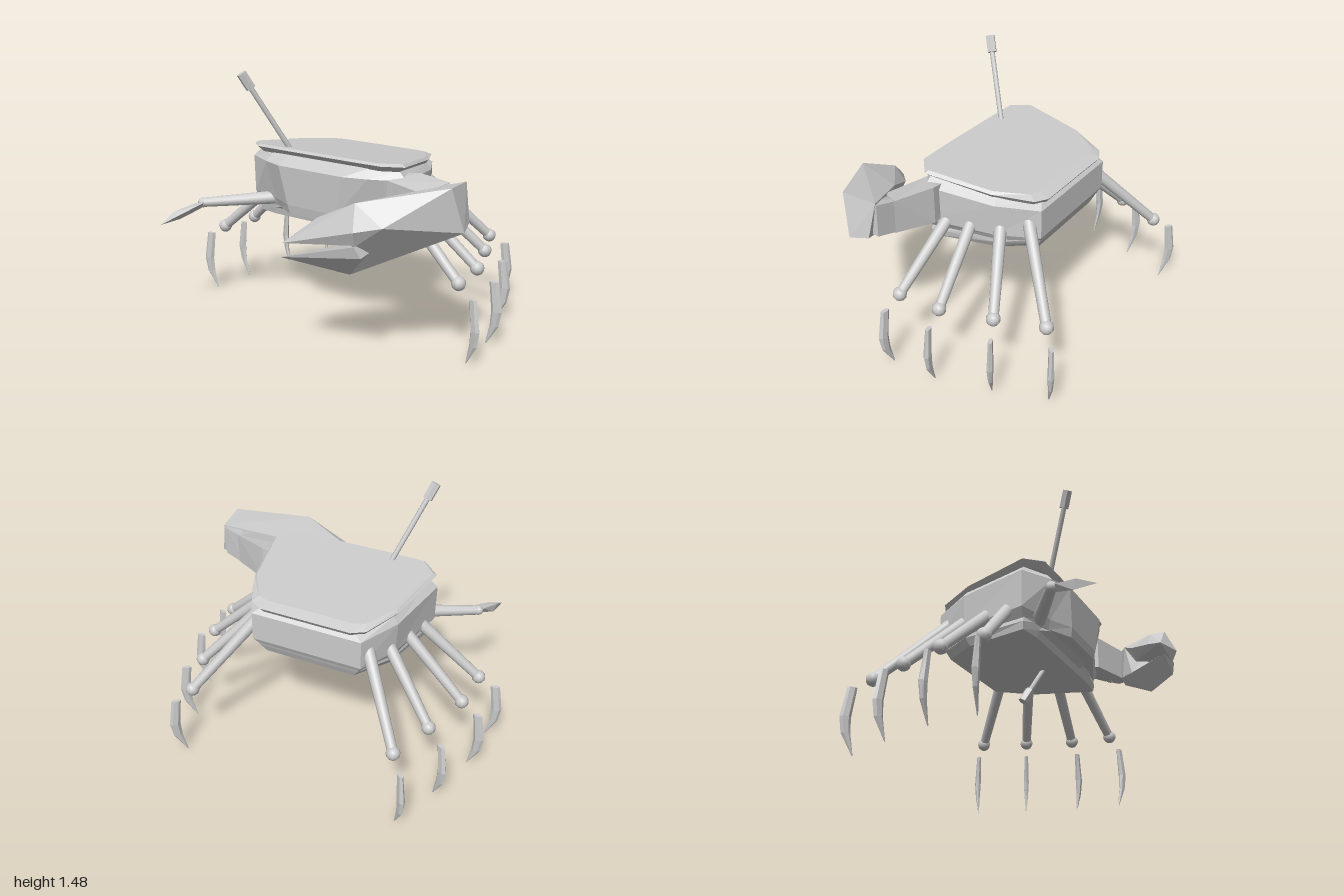
import * as THREE from 'three';
import { ConvexGeometry } from 'three/addons/geometries/ConvexGeometry.js';

const V = (x, y, z) => new THREE.Vector3(x, y, z);
const flat = new THREE.MeshStandardMaterial({ color: 0xcccccc, flatShading: true });
const smooth = new THREE.MeshStandardMaterial({ color: 0xcccccc });

function add(parent, name, geometry, material = flat) {
  const mesh = new THREE.Mesh(geometry, material);
  mesh.name = name;
  parent.add(mesh);
  return mesh;
}

// Closed skin over rings that run upward, each counterclockwise from above
function loft(rings) {
  const pos = [];
  const tri = (...pts) => pts.forEach(p => pos.push(p.x, p.y, p.z));
  const n = rings[0].length;
  for (let i = 0; i < rings.length - 1; i++) {
    for (let j = 0; j < n; j++) {
      const k = (j + 1) % n;
      tri(rings[i][j], rings[i][k], rings[i + 1][k]);
      tri(rings[i][j], rings[i + 1][k], rings[i + 1][j]);
    }
  }
  const low = rings[0], top = rings[rings.length - 1];
  for (let j = 1; j < n - 1; j++) {
    tri(low[0], low[j + 1], low[j]);
    tri(top[0], top[j], top[j + 1]);
  }
  const g = new THREE.BufferGeometry();
  g.setAttribute('position', new THREE.Float32BufferAttribute(pos, 3));
  g.computeVertexNormals();
  return g;
}

// Symmetric ring from one half outline [x, z]; y tilts linearly with z
function ring(y, slope, half) {
  const left = half.map(([x, z]) => V(x, y + slope * (z - 0.2), z));
  const right = half.map(([x, z]) => V(-x, y + slope * (z - 0.2), z)).reverse();
  return [...left, ...right];
}

const hull = pts => new ConvexGeometry(pts.map(p => V(...p)));

// Tapered round bar between two points
function bar(parent, name, a, b, ra, rb, sides, material) {
  const g = new THREE.CylinderGeometry(rb, ra, a.distanceTo(b), sides);
  const mesh = add(parent, name, g, material);
  mesh.position.copy(a).lerp(b, 0.5);
  mesh.quaternion.setFromUnitVectors(V(0, 1, 0), b.clone().sub(a).normalize());
  return mesh;
}

function buildBody(crab) {
  add(crab, 'body', loft([
    ring(0.69, -0.03, [[0.16, 0.325], [0.3, 0.25], [0.49, 0.19], [0.42, -0.2], [0.3, -0.41]]),
    ring(0.74, 0, [[0.17, 0.335], [0.31, 0.265], [0.525, 0.2], [0.44, -0.2], [0.33, -0.425]]),
    ring(0.955, 0.07, [[0.22, 0.35], [0.35, 0.3], [0.53, 0.2], [0.45, -0.2], [0.33, -0.425]]),
    ring(1.005, 0.1, [[0.2, 0.27], [0.33, 0.26], [0.48, 0.19], [0.42, -0.2], [0.28, -0.39]]),
  ]));
  add(crab, 'bellyPlate', loft([
    ring(0.622, -0.04, [[0.2, 0.21], [0.36, 0.21], [0.485, 0.19], [0.4, -0.18], [0.27, -0.38]]),
    ring(0.665, -0.04, [[0.2, 0.22], [0.36, 0.22], [0.495, 0.195], [0.42, -0.2], [0.3, -0.4]]),
    ring(0.72, 0, [[0.16, 0.3], [0.3, 0.24], [0.48, 0.19], [0.42, -0.2], [0.31, -0.41]]),
  ]));
  add(crab, 'shellLid', loft([
    ring(1.0, 0.11, [[0.2, 0.26], [0.4, 0.26], [0.48, 0.19], [0.42, -0.18], [0.33, -0.37], [0.26, -0.41]]),
    ring(1.03, 0.11, [[0.2, 0.295], [0.42, 0.29], [0.52, 0.2], [0.445, -0.18], [0.345, -0.39], [0.27, -0.43]]),
    ring(1.045, 0.11, [[0.2, 0.285], [0.41, 0.28], [0.5, 0.19], [0.43, -0.18], [0.32, -0.35], [0.26, -0.37]]),
  ]));
}

// Thin stalk with a six-sided eye on its end
function buildEye(crab, base, tip) {
  const eye = new THREE.Group();
  eye.name = 'eye';
  const neck = tip.clone().lerp(base, 0.17);
  bar(eye, 'eyeStalk', base, neck, 0.015, 0.015, 8, smooth);
  bar(eye, 'eyeTip', neck, tip, 0.029, 0.029, 6, flat);
  crab.add(eye);
}

// Pointed foot, bowed away from the body
function footGeometry(x, z, ux, uz) {
  const sections = [ // height, offset outward, outward radius, side radius
    [0.005, 0.0, 0.003, 0.003], [0.12, 0.045, 0.026, 0.013],
    [0.21, 0.055, 0.031, 0.019], [0.38, 0.032, 0.027, 0.013],
  ];
  return loft(sections.map(([y, off, ru, rv]) => Array.from({ length: 6 }, (_, i) => {
    const t = i * Math.PI / 3;
    const a = off + ru * Math.cos(t), b = rv * Math.sin(t);
    return V(x + ux * a + uz * b, y, z + uz * a - ux * b);
  })));
}

function buildLegs(crab) {
  const legs = [ // hip, knee, inner and outer ends of the foot in plan
    { hip: [0.42, 0.81, 0.08], knee: [0.835, 0.155], foot: [0.905, 0.172, 0.99, 0.195] },
    { hip: [0.38, 0.83, -0.04], knee: [0.815, -0.1], foot: [0.885, -0.105, 0.98, -0.112] },
    { hip: [0.38, 0.81, -0.2], knee: [0.72, -0.385], foot: [0.785, -0.418, 0.865, -0.458] },
    { hip: [0.31, 0.87, -0.32], knee: [0.62, -0.65], foot: [0.667, -0.705, 0.735, -0.76] },
  ];
  for (const side of [1, -1]) {
    for (const { hip, knee, foot } of legs) {
      const leg = new THREE.Group();
      leg.name = side > 0 ? 'leftLeg' : 'rightLeg';
      const k = V(side * knee[0], 0.44, knee[1]);
      bar(leg, 'upperLeg', V(side * hip[0], hip[1], hip[2]), k, 0.036, 0.028, 12, smooth);
      add(leg, 'knee', new THREE.SphereGeometry(0.04, 10, 8), smooth).position.copy(k);
      const dx = side * (foot[2] - foot[0]), dz = foot[3] - foot[1], d = Math.hypot(dx, dz);
      add(leg, 'foot', footGeometry(side * foot[0], foot[1], dx / d, dz / d));
      crab.add(leg);
    }
  }
}

function buildLargeClaw(crab) {
  const claw = new THREE.Group();
  claw.name = 'largeClaw';
  add(claw, 'upperArm', hull([
    [0.44, 0.78, 0.12], [0.44, 0.97, 0.12], [0.44, 0.76, 0.25], [0.44, 0.96, 0.25],
    [0.56, 0.77, 0.11], [0.56, 0.99, 0.11], [0.7, 0.76, 0.33], [0.7, 0.95, 0.33],
    [0.78, 0.79, 0.2], [0.78, 0.99, 0.19],
  ]));
  add(claw, 'wrist', hull([
    [0.72, 0.78, 0.19], [0.72, 0.97, 0.19], [0.72, 0.77, 0.31], [0.72, 0.95, 0.31],
    [0.89, 0.82, 0.22], [0.89, 1.01, 0.215], [0.9, 0.84, 0.34], [0.88, 1.0, 0.34],
  ]));
  add(claw, 'palm', hull([
    [0.89, 1.02, 0.22], [0.915, 1.033, 0.42], [0.96, 0.8, 0.36], [0.93, 0.82, 0.25],
    [0.79, 0.98, 0.27], [0.78, 0.8, 0.28], [0.745, 0.995, 0.47], [0.68, 0.85, 0.66],
    [0.52, 0.95, 0.66], [0.55, 0.82, 0.72], [0.54, 0.74, 0.68], [0.57, 0.92, 0.38],
    [0.57, 0.72, 0.36], [0.435, 0.535, 0.58], [0.48, 0.7, 0.45],
  ]));
  add(claw, 'upperFinger', hull([
    [0.125, 0.69, 0.745], [0.28, 0.83, 0.64], [0.52, 0.95, 0.66], [0.55, 0.82, 0.72],
    [0.54, 0.745, 0.69], [0.57, 0.92, 0.38], [0.35, 0.8, 0.5], [0.42, 0.74, 0.5], [0.2, 0.73, 0.65],
  ]));
  add(claw, 'lowerFinger', hull([
    [0.13, 0.62, 0.76], [0.435, 0.535, 0.58], [0.54, 0.74, 0.7], [0.57, 0.72, 0.36],
    [0.36, 0.65, 0.5], [0.57, 0.68, 0.68],
  ]));
  crab.add(claw);
}

function buildSmallClaw(crab) {
  const claw = new THREE.Group();
  claw.name = 'smallClaw';
  const elbow = V(-0.715, 0.69, 0.46);
  bar(claw, 'smallArm', V(-0.28, 0.735, 0.17), elbow, 0.042, 0.028, 12, smooth);
  add(claw, 'smallElbow', new THREE.SphereGeometry(0.03, 10, 8), smooth).position.copy(elbow);
  add(claw, 'smallPincer', hull([
    [-0.74, 0.69, 0.49], [-0.68, 0.7, 0.49], [-0.71, 0.66, 0.48],
    [-0.79, 0.66, 0.62], [-0.735, 0.67, 0.59], [-0.775, 0.61, 0.6], [-0.795, 0.605, 0.73],
  ]));
  crab.add(claw);
}

export function createModel() {
  const crab = new THREE.Group();
  crab.name = 'crab';
  buildBody(crab);
  buildEye(crab, V(-0.21, 0.98, 0.2), V(-0.405, 1.475, 0.425));
  buildEye(crab, V(0.16, 0.85, 0.14), V(-0.005, 0.425, -0.05));
  buildLegs(crab);
  buildLargeClaw(crab);
  buildSmallClaw(crab);
  return crab;
}
